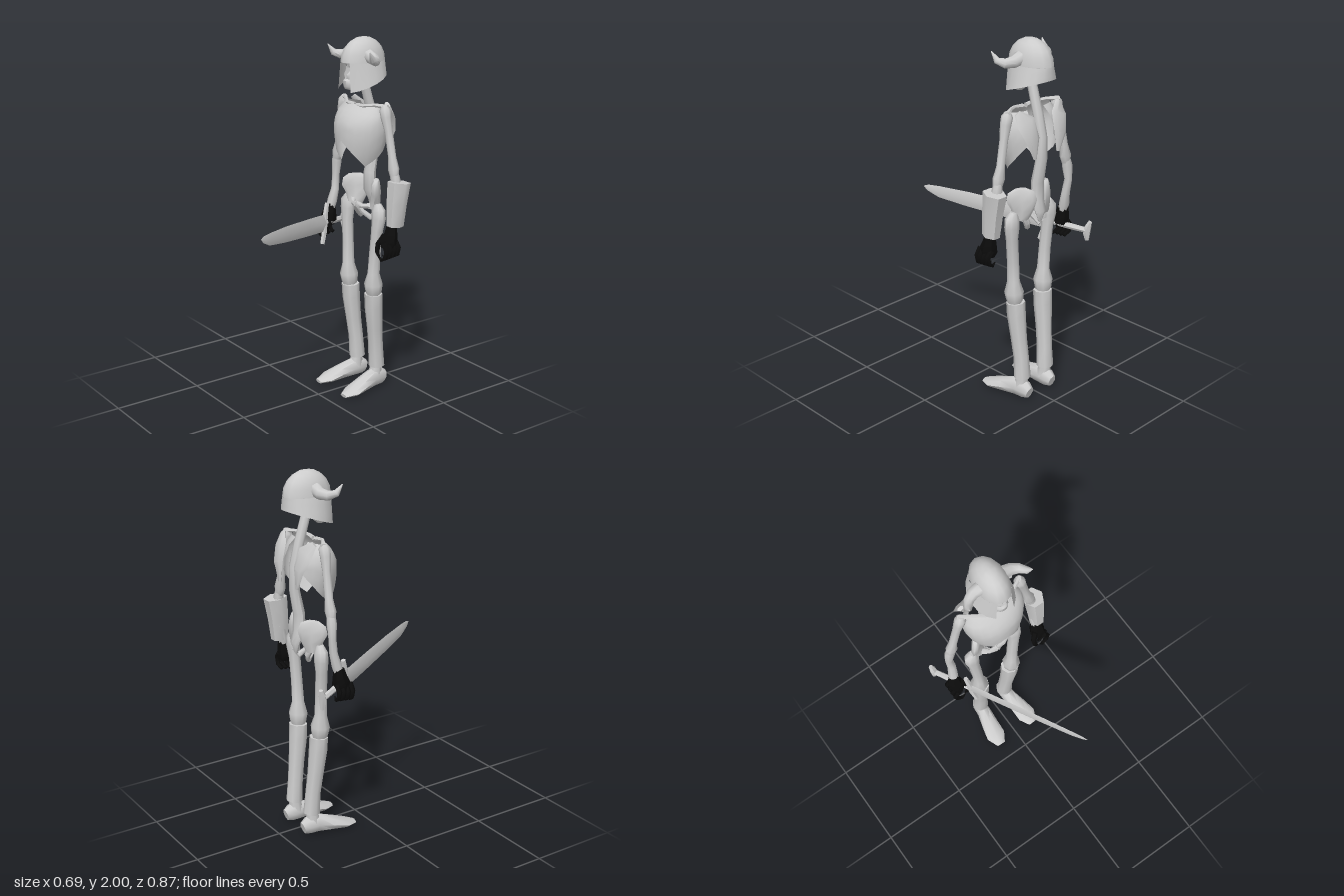
import * as THREE from 'three';
import { toCreasedNormals } from 'three/addons/utils/BufferGeometryUtils.js';

const V = (x, y, z) => new THREE.Vector3(x, y, z);
const Z = V(0, 0, 1), Y = V(0, 1, 0);

function geometry(pos, index) {
  const g = new THREE.BufferGeometry();
  g.setAttribute('position', new THREE.Float32BufferAttribute(pos, 3));
  g.setIndex(index);
  return toCreasedNormals(g, 0.95);
}

// Elliptical sections [x, y, z, a, b] swept along a path, with closed ends
function loft(pts, n = 8, ref = Z, adjust = null) {
  const pos = [], idx = [], c = pts.map(p => V(p[0], p[1], p[2])), last = pts.length - 1;
  pts.forEach((p, i) => {
    const t = c[Math.min(i + 1, last)].clone().sub(c[Math.max(i - 1, 0)]).normalize();
    const u = t.clone().cross(ref).normalize(), v = u.clone().cross(t);
    for (let j = 0; j < n; j++) {
      const a = j / n * Math.PI * 2;
      const q = c[i].clone().addScaledVector(u, p[3] * Math.cos(a)).addScaledVector(v, p[4] * Math.sin(a));
      if (adjust) adjust(q);
      pos.push(q.x, q.y, q.z);
      if (i < last) {
        const k = i * n + j, m = i * n + (j + 1) % n;
        idx.push(k, k + n, m, m, k + n, m + n);
      }
    }
  });
  const s = pos.length / 3, e = last * n;
  pos.push(...c[0].toArray(), ...c[last].toArray());
  for (let j = 0; j < n; j++) {
    const m = (j + 1) % n;
    idx.push(s, j, m, s + 1, e + m, e + j);
  }
  return geometry(pos, idx);
}

// Open sheet from a rule f(u, v)
function sheet(f, nu, nv) {
  const pos = [], idx = [];
  for (let i = 0; i <= nu; i++) for (let j = 0; j <= nv; j++) {
    pos.push(...f(i / nu, j / nv));
    if (i < nu && j < nv) {
      const k = i * (nv + 1) + j;
      idx.push(k, k + 1, k + nv + 1, k + 1, k + nv + 2, k + nv + 1);
    }
  }
  return geometry(pos, idx);
}

// Piecewise linear lookup in rows [key, value...]
function lookup(rows, key) {
  let i = 0;
  while (i < rows.length - 2 && key > rows[i + 1][0]) i++;
  const t = THREE.MathUtils.clamp((key - rows[i][0]) / (rows[i + 1][0] - rows[i][0]), 0, 1);
  return rows[i].map((a, k) => a + (rows[i + 1][k] - a) * t);
}

export function createModel() {
  const model = new THREE.Group();
  const bone = new THREE.MeshStandardMaterial({ color: 0xcccccc });
  bone.name = 'bone grey';
  const shell = new THREE.MeshStandardMaterial({ color: 0xcccccc, side: THREE.DoubleSide });
  shell.name = 'shell grey';
  const black = new THREE.MeshStandardMaterial({ color: 0x0c0c0c });
  black.name = 'glove black';
  const add = (name, geo, mat = bone, parent = model) => {
    const m = new THREE.Mesh(geo, mat);
    m.name = name;
    parent.add(m);
    return m;
  };
  const side = (pts, s) => pts.map(p => [p[0] * s, ...p.slice(1)]);

  // Skull, with hollow eyes and nose
  add('skull', loft([
    [0, 1.72, -0.205, 0.025, 0.025], [0, 1.735, -0.21, 0.037, 0.038], [0, 1.76, -0.215, 0.04, 0.046],
    [0, 1.768, -0.22, 0.036, 0.04], [0, 1.785, -0.225, 0.04, 0.055], [0, 1.8, -0.235, 0.052, 0.066],
    [0, 1.815, -0.25, 0.055, 0.08], [0, 1.83, -0.26, 0.056, 0.09], [0, 1.85, -0.27, 0.06, 0.1],
    [0, 1.9, -0.28, 0.062, 0.1], [0, 1.95, -0.285, 0.04, 0.06]], 20, Z, q => {
    if (q.z < -0.24) return;
    if (Math.hypot(Math.abs(q.x) - 0.025, q.y - 1.825) < 0.018) q.z -= 0.025;
    if (Math.hypot(q.x, q.y - 1.8) < 0.012) q.z -= 0.012;
  }));

  // Helmet: dome and a flared skirt open at the face
  add('helmetDome', sheet((u, v) => {
    const a = u * Math.PI * 2, e = v * Math.PI / 2;
    return [0.087 * Math.sin(a) * Math.cos(e), 1.87 + 0.13 * Math.sin(e), -0.293 + 0.135 * Math.cos(a) * Math.cos(e)];
  }, 14, 5), shell);
  add('helmetSkirt', sheet((u, v) => {
    const a = THREE.MathUtils.degToRad(28 + 304 * u), z = Math.cos(a);
    const bottom = 1.757 - 0.047 * z;
    return [(0.087 + 0.028 * v) * Math.sin(a), 1.87 + (bottom - 1.87) * v, -0.293 + (0.135 + 0.003 * v) * z];
  }, 14, 3), shell);

  // Spine from skull to pelvis
  add('spine', loft([
    [0, 1.8, -0.29, 0.025, 0.025], [0, 1.7, -0.32, 0.027, 0.025], [0, 1.62, -0.345, 0.03, 0.025],
    [0, 1.5, -0.375, 0.03, 0.025], [0, 1.38, -0.375, 0.033, 0.027], [0, 1.25, -0.35, 0.038, 0.03],
    [0, 1.15, -0.35, 0.04, 0.03], [0, 1.09, -0.375, 0.035, 0.022], [0, 1.03, -0.37, 0.006, 0.008]], 8));

  // Ribcage: one shell, open at the top and along the back
  const girth = [[1.31, 0.115, 0.12], [1.38, 0.147, 0.135], [1.46, 0.168, 0.142], [1.54, 0.178, 0.136],
    [1.6, 0.167, 0.1], [1.645, 0.135, 0.045]];
  const hem = [[0, 1.45], [30, 1.385], [62, 1.315], [105, 1.39], [155, 1.5]];
  add('ribcage', sheet((u, v) => {
    const deg = -155 + 310 * u, a = THREE.MathUtils.degToRad(deg), top = 1.64;
    const y = top + (lookup(hem, Math.abs(deg))[1] - top) * v;
    const [, rx, rz] = lookup(girth, y), c = Math.cos(a);
    return [rx * Math.sin(a), y, -0.292 + rz * c * (c < 0 ? 0.75 : 1)];
  }, 20, 7), shell);

  for (const s of [1, -1]) {
    const limb = (name, pts, n = 8, ref = Z, mat = bone) => add(name, loft(side(pts, s), n, ref), mat);

    // Horn curving out, forward and up
    limb('horn', [[0.065, 1.905, -0.28, 0.037, 0.037], [0.11, 1.892, -0.28, 0.032, 0.032],
      [0.15, 1.888, -0.26, 0.026, 0.026], [0.172, 1.9, -0.225, 0.019, 0.019],
      [0.183, 1.945, -0.195, 0.002, 0.002]], 8, Y);

    // Shoulder girdle
    limb('collarBone', [[0.01, 1.635, -0.25, 0.013, 0.013], [0.07, 1.64, -0.245, 0.01, 0.01],
      [0.13, 1.65, -0.28, 0.01, 0.01], [0.19, 1.645, -0.315, 0.016, 0.014]], 6, Y);
    limb('shoulderBlade', [[0.15, 1.65, -0.345, 0.02, 0.012], [0.12, 1.6, -0.38, 0.058, 0.014],
      [0.1, 1.51, -0.41, 0.045, 0.012], [0.085, 1.41, -0.41, 0.01, 0.008]], 6);

    // Arm
    limb('upperArm', [[0.175, 1.655, -0.305, 0.015, 0.015], [0.18, 1.63, -0.305, 0.031, 0.03],
      [0.19, 1.59, -0.305, 0.03, 0.028], [0.207, 1.52, -0.31, 0.022, 0.022], [0.235, 1.38, -0.315, 0.022, 0.022],
      [0.248, 1.32, -0.315, 0.034, 0.028], [0.256, 1.28, -0.315, 0.026, 0.022]]);
    limb('forearm', [[0.252, 1.31, -0.315, 0.022, 0.022], [0.262, 1.26, -0.318, 0.03, 0.026],
      [0.272, 1.18, -0.32, 0.021, 0.021], [0.265, 1.1, -0.31, 0.024, 0.022], [0.272, 1.03, -0.295, 0.029, 0.027],
      [0.274, 0.99, -0.285, 0.026, 0.024]]);

    // Glove: palm, thumb and curled fingers
    limb('glovePalm', [[0.277, 1.015, -0.285, 0.027, 0.027], [0.277, 0.97, -0.28, 0.036, 0.038],
      [0.275, 0.925, -0.27, 0.045, 0.05], [0.28, 0.895, -0.265, 0.033, 0.043]], 6, Z, black);
    limb('gloveThumb', [[0.25, 0.96, -0.255, 0.018, 0.018], [0.225, 0.91, -0.235, 0.016, 0.016],
      [0.23, 0.87, -0.225, 0.013, 0.013], [0.25, 0.828, -0.23, 0.003, 0.003]], 5, Z, black);
    for (let i = 0; i < 4; i++) {
      const z = -0.305 + i * 0.027, d = i * 0.003;
      limb('gloveFinger', [[0.288, 0.93, z, 0.015, 0.014], [0.313, 0.9 - d, z, 0.014, 0.014],
        [0.305, 0.86 - d, z, 0.012, 0.012], [0.275, 0.842 - d, z + 0.005, 0.01, 0.01],
        [0.255, 0.855, z + 0.008, 0.003, 0.003]], 5, Z, black);
    }

    // Pelvis half
    add('hipBlade', loft(side([[0.095, 1.225, -0.32, 0.035, 0.014], [0.092, 1.205, -0.32, 0.068, 0.022],
      [0.09, 1.16, -0.325, 0.08, 0.026], [0.085, 1.11, -0.325, 0.06, 0.028],
      [0.085, 1.06, -0.315, 0.042, 0.03]], s), 8, V(-0.7, 0, 0.7 * s)));
    limb('sitBone', [[0.08, 1.09, -0.32, 0.022, 0.018], [0.062, 1.03, -0.34, 0.019, 0.016],
      [0.045, 1.0, -0.325, 0.018, 0.016], [0.025, 1.04, -0.28, 0.014, 0.014],
      [0.006, 1.075, -0.265, 0.014, 0.018]], 6, V(0.3 * s, 0, 1));
    limb('pubicBone', [[0.085, 1.08, -0.3, 0.02, 0.018], [0.045, 1.075, -0.27, 0.013, 0.013],
      [0.002, 1.075, -0.265, 0.014, 0.018]], 6, Y);

    // Leg
    limb('thighBone', [[0.13, 1.1, -0.305, 0.02, 0.02], [0.138, 1.065, -0.305, 0.044, 0.034],
      [0.14, 1.02, -0.305, 0.044, 0.036], [0.134, 0.95, -0.3, 0.033, 0.032], [0.122, 0.82, -0.297, 0.032, 0.032],
      [0.115, 0.7, -0.295, 0.031, 0.036], [0.112, 0.635, -0.297, 0.052, 0.053], [0.11, 0.59, -0.3, 0.045, 0.046],
      [0.108, 0.55, -0.3, 0.03, 0.03]]);
    limb('greave', [[0.105, 0.575, -0.303, 0.053, 0.05], [0.103, 0.5, -0.307, 0.051, 0.051],
      [0.098, 0.36, -0.322, 0.043, 0.045], [0.092, 0.25, -0.335, 0.041, 0.043],
      [0.09, 0.125, -0.345, 0.047, 0.045]], 8);
    limb('ankle', [[0.09, 0.17, -0.345, 0.03, 0.03], [0.09, 0.11, -0.34, 0.032, 0.036],
      [0.09, 0.06, -0.335, 0.04, 0.045]], 8);
    limb('foot', [[0.09, 0.044, -0.4, 0.026, 0.036], [0.09, 0.053, -0.37, 0.04, 0.052],
      [0.093, 0.055, -0.31, 0.042, 0.055], [0.106, 0.04, -0.23, 0.05, 0.039],
      [0.117, 0.023, -0.15, 0.058, 0.022], [0.12, 0.012, -0.088, 0.026, 0.011]], 8, Y);
  }

  // Bracer on the left forearm
  add('bracer', loft([[0.285, 1.255, -0.325, 0.058, 0.066], [0.286, 1.14, -0.31, 0.05, 0.058],
    [0.287, 1.015, -0.3, 0.041, 0.05]], 6));

  // Sword held in the right hand, built along +z from the pommel
  const sword = new THREE.Group();
  sword.name = 'sword';
  sword.position.set(-0.33, 0.89, -0.425);
  add('blade', loft([[0, 0, 0.24, 0.014, 0.05], [0, 0, 0.45, 0.013, 0.049], [0, 0, 0.7, 0.011, 0.044],
    [0, 0, 0.87, 0.008, 0.034], [0, 0.008, 0.94, 0.005, 0.018], [0, 0.012, 0.964, 0.001, 0.002]], 4, Y), bone, sword);
  add('guard', loft([[0, -0.12, 0.262, 0.013, 0.013], [0, -0.05, 0.245, 0.016, 0.018],
    [0, 0.05, 0.245, 0.016, 0.018], [0, 0.115, 0.235, 0.013, 0.013]], 6), bone, sword);
  add('grip', loft([[0, 0, 0.01, 0.015, 0.015], [0, 0, 0.12, 0.017, 0.017], [0, 0, 0.24, 0.015, 0.015]], 6, Y), bone, sword);
  add('pommel', loft([[0, -0.055, 0, 0.012, 0.011], [0, -0.02, 0.008, 0.02, 0.02],
    [0, 0.02, 0.008, 0.02, 0.02], [0, 0.055, 0, 0.012, 0.011]], 6), bone, sword);
  sword.lookAt(0.093, 1.015, 0.43);
  model.add(sword);

  return model;
}
